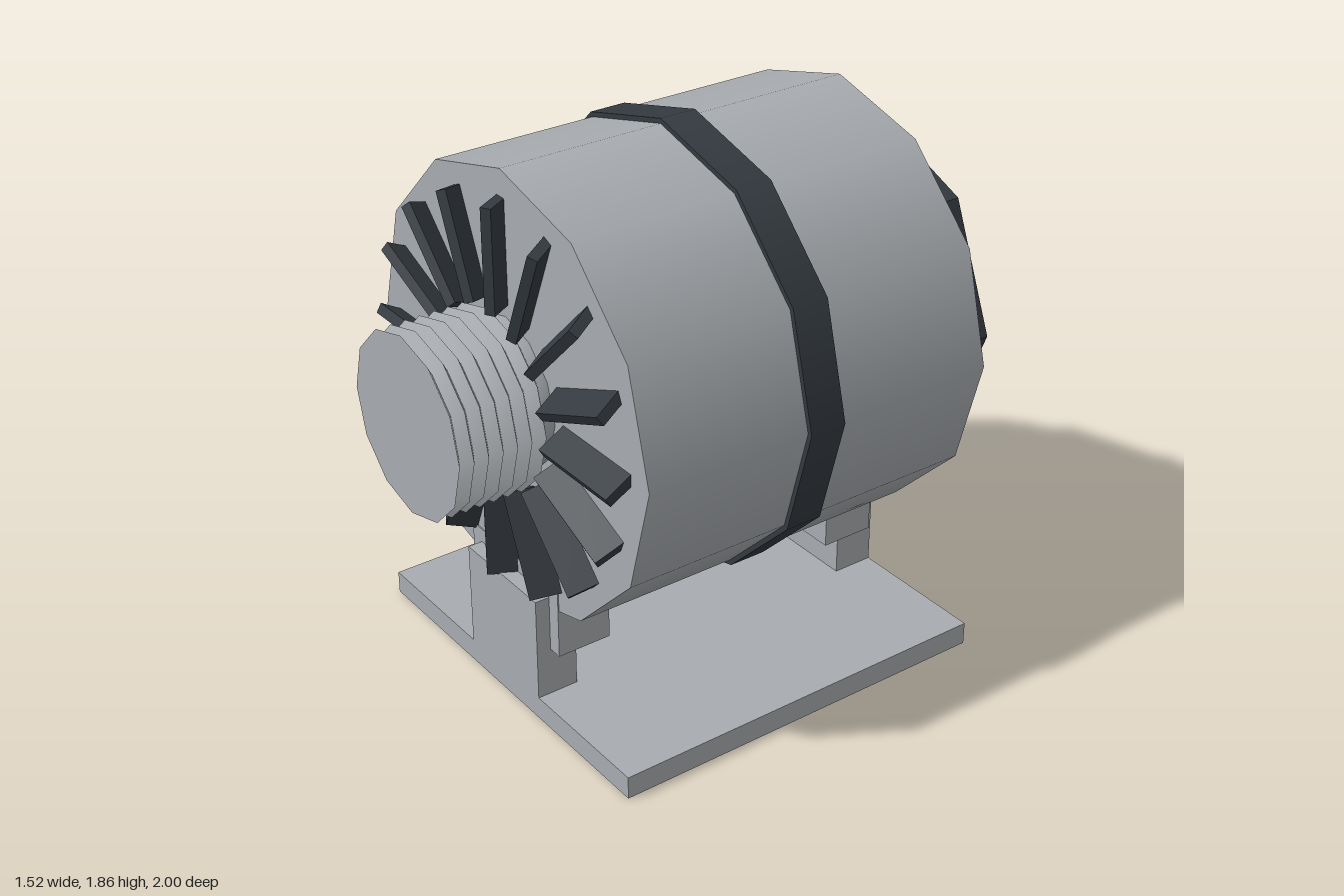
import * as THREE from 'three';
import { toCreasedNormals } from 'three/addons/utils/BufferGeometryUtils.js';

const metal = new THREE.MeshStandardMaterial({ color: 0xa8acb0 });
metal.name = 'bare metal';
const dark = new THREE.MeshStandardMaterial({ color: 0x343a40 });
dark.name = 'dark plastic';
const copper = new THREE.MeshStandardMaterial({ color: 0xb87333 });
copper.name = 'copper';

const AXIS_Y = 1.1;

export function createModel() {
  const model = new THREE.Group();
  model.name = 'alternator';

  const add = (name, geometry, material, parent = model) => {
    const mesh = new THREE.Mesh(geometry, material);
    mesh.name = name;
    parent.add(mesh);
    return mesh;
  };

  // Box given by its limits on each axis
  const box = (name, material, [x0, x1], [y0, y1], [z0, z1]) =>
    add(name, new THREE.BoxGeometry(x1 - x0, y1 - y0, z1 - z0), material)
      .position.set((x0 + x1) / 2, (y0 + y1) / 2, (z0 + z1) / 2);

  // Prism lying along z; up to 8 sides are faceted, more are smooth
  const rod = (name, material, radius, sides, y, z0, z1) => {
    let g = new THREE.CylinderGeometry(radius, radius, z1 - z0, sides);
    g.rotateX(Math.PI / 2);
    if (sides <= 8) g = toCreasedNormals(g, 0.3);
    add(name, g, material).position.set(0, y, (z0 + z1) / 2);
  };

  // Housing with clamp band and rear cover
  rod('housing', metal, 0.745, 12, AXIS_Y, -0.65, 0.64);
  rod('clampBand', dark, 0.762, 12, AXIS_Y, -0.07, 0.06);
  rod('rearCover', dark, 0.6, 8, AXIS_Y, -0.8, -0.645);
  rod('outputTerminal', copper, 0.058, 6, 1.4, -1, -0.79);
  box('plugSocket', dark, [-0.5, -0.25], [0.9, 1.2], [-0.95, -0.79]);

  // Grooved pulley turned from a zigzag profile
  const profile = [[0, 0.64], [0.26, 0.64], [0.26, 0.675]];
  for (let i = 0; i <= 6; i++) {
    profile.push([0.305, 0.7 + i * 0.05]);
    if (i < 6) profile.push([0.26, 0.725 + i * 0.05]);
  }
  profile.push([0, 1]);
  const pulley = new THREE.LatheGeometry(profile.map(([r, h]) => new THREE.Vector2(r, h)), 12);
  pulley.rotateX(Math.PI / 2);
  add('pulley', toCreasedNormals(pulley, 0.7), metal).position.y = AXIS_Y;

  // Ring of tilted cooling blades, half sunk in the housing
  const fan = new THREE.Group();
  fan.name = 'fan';
  fan.position.set(0, AXIS_Y, 0.643);
  model.add(fan);
  const blade = new THREE.BoxGeometry(0.035, 0.35, 0.18);
  blade.rotateY(Math.PI / 6);
  blade.translate(0, 0.48, 0);
  for (let i = 0; i < 16; i++) {
    add('fanBlade', blade, dark, fan).rotation.z = (i * Math.PI) / 8;
  }

  // Mounting stand: plate, uprights and housing lugs
  box('basePlate', metal, [-0.7, 0.7], [0, 0.08], [-0.695, 0.695]);
  for (const [name, s] of [['front', 1], ['rear', -1]]) {
    const span = (a, b) => (s > 0 ? [a, b] : [-b, -a]);
    box(name + 'Upright', metal, [-0.2, 0.2], [0.07, 0.45], span(0.547, 0.695));
    box(name + 'Lug', metal, [-0.25, 0.25], [0.25, 0.5], span(0.45, 0.644));
  }

  // Pivot bolt with hexagonal head at the rear
  rod('pivotBolt', metal, 0.04, 8, 0.35, -0.69, 0.68);
  rod('boltHead', metal, 0.092, 6, 0.35, -0.76, -0.69);

  return model;
}
